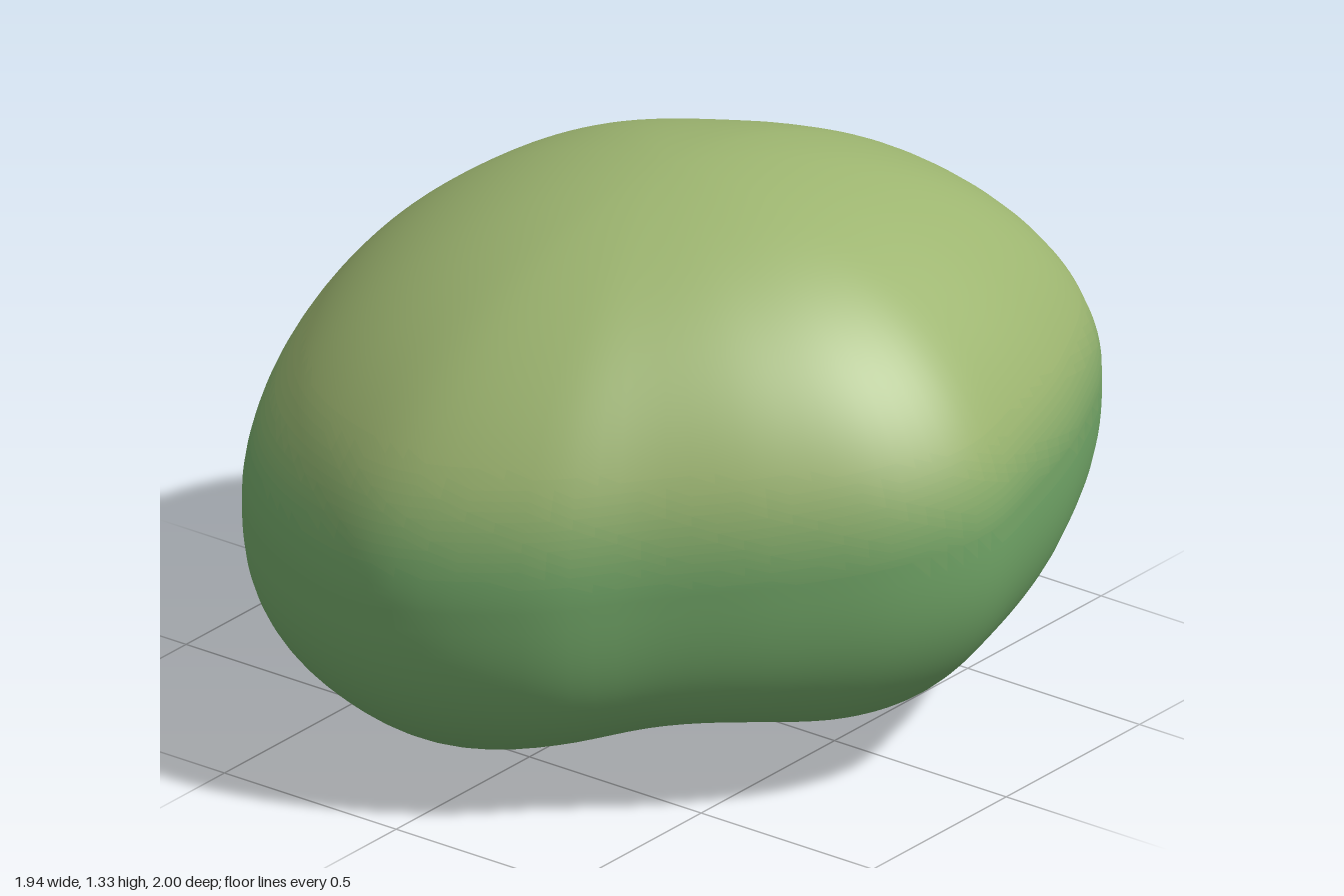
import * as THREE from 'three';
import { mergeVertices } from 'three/addons/utils/BufferGeometryUtils.js';

// Widest outline of the pebble seen from above, as [x, z]
const OUTLINE = [
  [-0.97, -0.04], [-0.95, 0.16], [-0.84, 0.46], [-0.66, 0.72], [-0.39, 0.91],
  [-0.07, 1.0], [0.28, 0.87], [0.49, 0.68], [0.72, 0.48], [0.90, 0.26],
  [0.97, 0.04], [0.92, -0.21], [0.81, -0.53], [0.60, -0.86], [0.22, -1.0],
  [-0.02, -0.94], [-0.29, -0.80], [-0.71, -0.62], [-0.89, -0.41],
];

// The green of the underside turns to olive in small steps across the waist
const LOWER = new THREE.Color(0x70a466);
const UPPER = new THREE.Color(0x9db570);
const STEPS = 12;

function tintByHeight(geometry) {
  const pos = geometry.attributes.position;
  const index = geometry.index.array;
  const bands = Array.from({ length: STEPS + 1 }, () => []);
  for (let i = 0; i < index.length; i += 3) {
    const face = [index[i], index[i + 1], index[i + 2]];
    const y = face.reduce((sum, v) => sum + pos.getY(v), 0) / 3;
    bands[Math.round(THREE.MathUtils.smoothstep(y, 0.6, 0.92) * STEPS)].push(...face);
  }
  geometry.setIndex(bands.flat());
  let start = 0;
  return bands.map((band, k) => {
    geometry.addGroup(start, band.length, k);
    start += band.length;
    return new THREE.MeshStandardMaterial({ color: LOWER.clone().lerp(UPPER, k / STEPS) });
  });
}

export function createModel() {
  const group = new THREE.Group();
  group.name = 'pebble';

  const curve = new THREE.CatmullRomCurve3(
    OUTLINE.map(([x, z]) => new THREE.Vector3(x, 0, z)), true, 'centripetal');

  // Sphere grid reshaped: the outline sets the plan, the latitude sets the height
  let geometry = new THREE.SphereGeometry(1, 96, 96);
  const pos = geometry.attributes.position;
  const uv = geometry.attributes.uv;
  for (let i = 0; i < pos.count; i++) {
    const rise = pos.getY(i);
    const s = Math.sqrt(Math.max(0, 1 - rise * rise));
    const rim = curve.getPoint(((uv.getX(i) % 1) + 1) % 1);
    // side hollows soften towards the top and bottom
    const radius = THREE.MathUtils.lerp(rim.length(), 0.95, 0.65 * rise * rise);
    rim.setLength(radius * s);
    const { x, z } = rim;
    // waist tilts up towards the back left
    const tilt = 0.07 * x - 0.055 * z;
    let y = 0.6;
    if (rise >= 0) {
      y += tilt + 0.72 * Math.pow(rise, 1.08);
    } else {
      // fuller underside with a broad, shallow valley between its two lobes
      const across = (0.82 * x - 0.57 * z - 0.08) / 0.36;
      y += tilt * (1 + 0.4 * rise) - 0.65 * Math.pow(-rise, 0.75);
      y += 0.16 * Math.exp(-across * across) * rise * rise;
    }
    pos.setXYZ(i, x, y, z);
  }

  // Weld the seam so the shading stays smooth
  geometry.deleteAttribute('uv');
  geometry.deleteAttribute('normal');
  geometry = mergeVertices(geometry, 1e-4);
  geometry.computeVertexNormals();

  // Rest it on the ground
  geometry.computeBoundingBox();
  geometry.translate(0, -geometry.boundingBox.min.y, 0);

  const body = new THREE.Mesh(geometry, tintByHeight(geometry));
  body.name = 'pebbleBody';
  group.add(body);
  return group;
}
